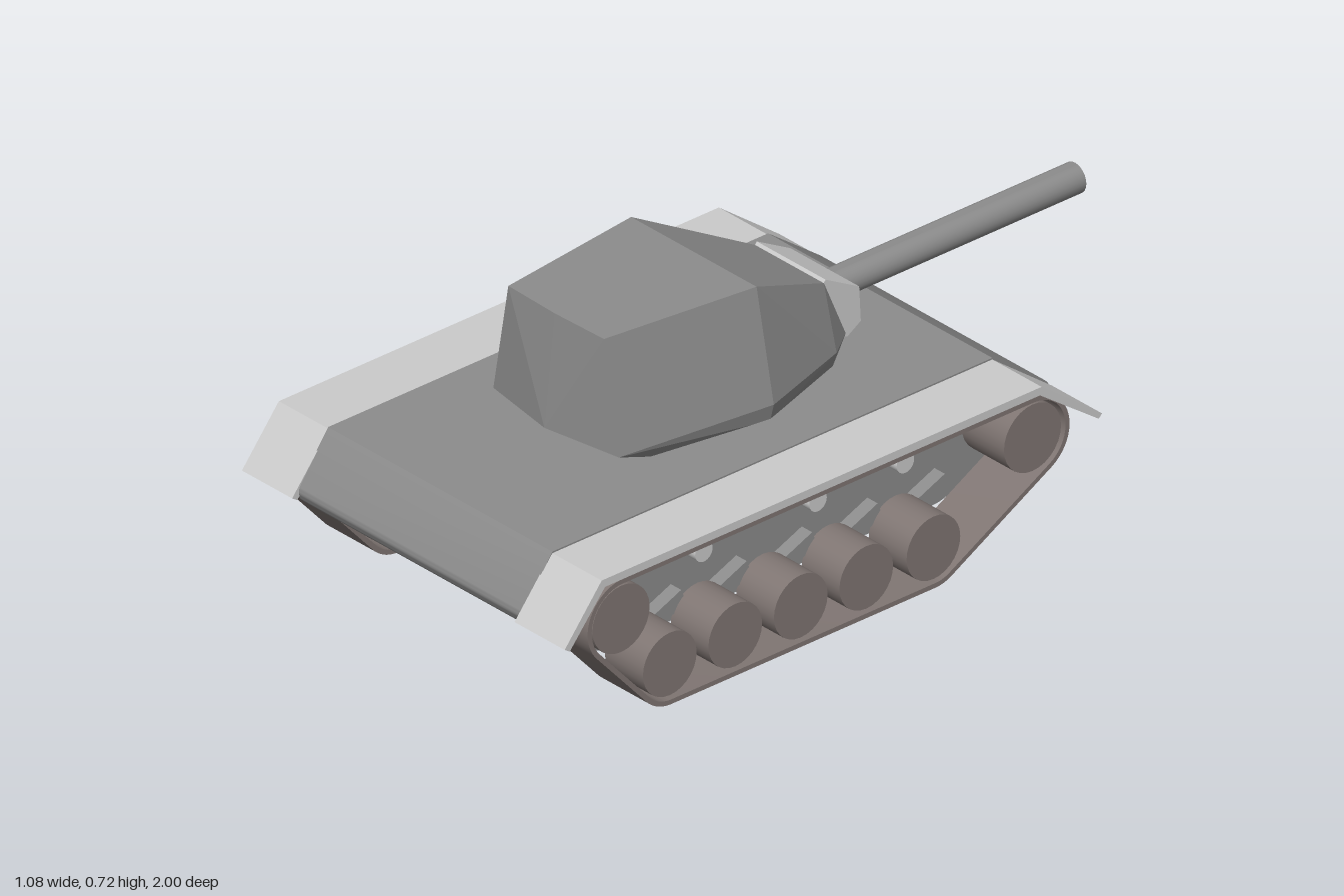
import * as THREE from 'three';
import { toCreasedNormals } from 'three/addons/utils/BufferGeometryUtils.js';
import { ConvexGeometry } from 'three/addons/geometries/ConvexGeometry.js';

const steel = new THREE.MeshStandardMaterial({ color: 0x8c8c8c });
const running = new THREE.MeshStandardMaterial({ color: 0x807673 });
const light = new THREE.MeshStandardMaterial({ color: 0xcccccc });

// Extrude a side profile drawn in (z, y) across x0..x1
function sideExtrude(shape, x0, x1, crease = 0.6) {
  const g = new THREE.ExtrudeGeometry(shape, { depth: x1 - x0, bevelEnabled: false, curveSegments: 10 });
  g.rotateY(-Math.PI / 2).translate(x1, 0, 0);
  return toCreasedNormals(g, crease);
}

const polygon = (pts) => new THREE.Shape(pts.map(([z, y]) => new THREE.Vector2(z, y)));

// Belt outline wrapped counter-clockwise around circles [z, y, r]
function belt(circles, grow, path) {
  const n = circles.length;
  const normal = (a, b) => {
    const dz = b[0] - a[0], dy = b[1] - a[1];
    return Math.atan2(dy, dz) - Math.acos((a[2] - b[2]) / Math.hypot(dz, dy));
  };
  circles.forEach((c, i) => {
    const from = normal(circles[(i + n - 1) % n], c);
    const to = normal(c, circles[(i + 1) % n]);
    path.absarc(c[0], c[1], c[2] + grow, from, to, false);
  });
  path.closePath();
  return path;
}

export function createModel() {
  const tank = new THREE.Group();
  const add = (name, geometry, material, parent = tank) => {
    const m = new THREE.Mesh(geometry, material);
    m.name = name;
    parent.add(m);
    return m;
  };

  // Hull with rounded lower ends
  const hull = new THREE.Shape();
  hull.moveTo(0.89, 0.4);
  hull.lineTo(-0.42, 0.4);
  hull.lineTo(-0.575, 0.285);
  hull.quadraticCurveTo(-0.605, 0.26, -0.57, 0.24);
  hull.lineTo(-0.3, 0.105);
  hull.quadraticCurveTo(-0.27, 0.09, -0.24, 0.09);
  hull.lineTo(0.7, 0.09);
  hull.quadraticCurveTo(0.76, 0.09, 0.79, 0.11);
  hull.lineTo(0.96, 0.235);
  hull.quadraticCurveTo(0.99, 0.26, 0.975, 0.285);
  hull.closePath();
  add('hull', sideExtrude(hull, -0.375, 0.375), steel);

  // Running gear, one set per side
  const wheelZ = [0.68, 0.485, 0.29, 0.095, -0.105];
  const rounds = [[0.68, 0.1, 0.08], [0.825, 0.27, 0.085], [-0.4, 0.27, 0.085], [-0.105, 0.1, 0.08]];
  // order the belt counter-clockwise: along the bottom, then back over the top
  const loop = [rounds[3], rounds[0], rounds[1], rounds[2]];
  const fender = polygon([[1, 0.26], [0.89, 0.396], [-0.42, 0.396], [-0.6, 0.26],
    [-0.59, 0.25], [-0.415, 0.376], [0.88, 0.376], [0.985, 0.25]]);

  for (const s of [1, -1]) {
    const side = new THREE.Group();
    side.name = s > 0 ? 'leftRunningGear' : 'rightRunningGear';
    tank.add(side);
    const span = (a, b) => (s > 0 ? [a, b] : [-b, -a]);
    const axle = (name, z, y, r, a, b, material) => {
      const g = new THREE.CylinderGeometry(r, r, b - a, 28).rotateZ(Math.PI / 2);
      add(name, g, material, side).position.set((s * (a + b)) / 2, y, z);
    };

    add('fender', sideExtrude(fender, ...span(0.372, 0.54)), light, side);

    const track = belt(loop, 0.02, new THREE.Shape());
    track.holes.push(belt(loop, 0.008, new THREE.Path()));
    add('track', sideExtrude(track, ...span(0.376, 0.538)), running, side);

    for (const z of wheelZ) {
      axle('roadWheel', z, 0.1, 0.08, 0.405, 0.532, running);
      // Trailing arm behind each wheel
      const arm = add('suspensionArm', new THREE.BoxGeometry(0.04, 0.04, 0.17), steel, side);
      arm.position.set(s * 0.39, 0.132, z - 0.072);
      arm.rotation.x = 0.4;
    }
    axle('idler', 0.825, 0.27, 0.085, 0.39, 0.532, running);
    axle('sprocket', -0.4, 0.27, 0.085, 0.39, 0.532, running);
    for (const z of [0.55, 0.21, -0.05]) axle('returnRoller', z, 0.325, 0.026, 0.37, 0.5, light);
  }

  // Faceted turret from mirrored corner points
  const half = [
    [0.2, 0.395, 0.43], [0.25, 0.395, 0.13], [0.165, 0.395, -0.13], [0.105, 0.4, -0.19],
    [0.21, 0.44, 0.545], [0.262, 0.44, 0.13], [0.18, 0.44, -0.13], [0.115, 0.43, -0.215],
    [0.16, 0.722, 0.545], [0.21, 0.722, 0.135], [0.115, 0.583, -0.15],
  ];
  const corners = half.flatMap(([x, y, z]) => [new THREE.Vector3(x, y, z), new THREE.Vector3(-x, y, z)]);
  corners.push(new THREE.Vector3(0, 0.44, 0.58), new THREE.Vector3(0, 0.722, 0.55));
  add('turret', new ConvexGeometry(corners), steel);

  // Mantlet and hollow gun barrel
  const mantlet = polygon([[-0.13, 0.56], [-0.155, 0.59], [-0.255, 0.535], [-0.26, 0.445], [-0.22, 0.42], [-0.15, 0.45]]);
  add('mantlet', sideExtrude(mantlet, -0.115, 0.115, 0.1), light);

  const bore = [[0.038, 0.24], [0.038, 1], [0.027, 1], [0.027, 0.85], [0, 0.85]];
  const barrel = new THREE.LatheGeometry(bore.map(([r, y]) => new THREE.Vector2(r, y)), 24);
  barrel.rotateX(-Math.PI / 2).translate(0, 0.483, 0);
  add('barrel', toCreasedNormals(barrel, 0.6), steel);

  return tank;
}
